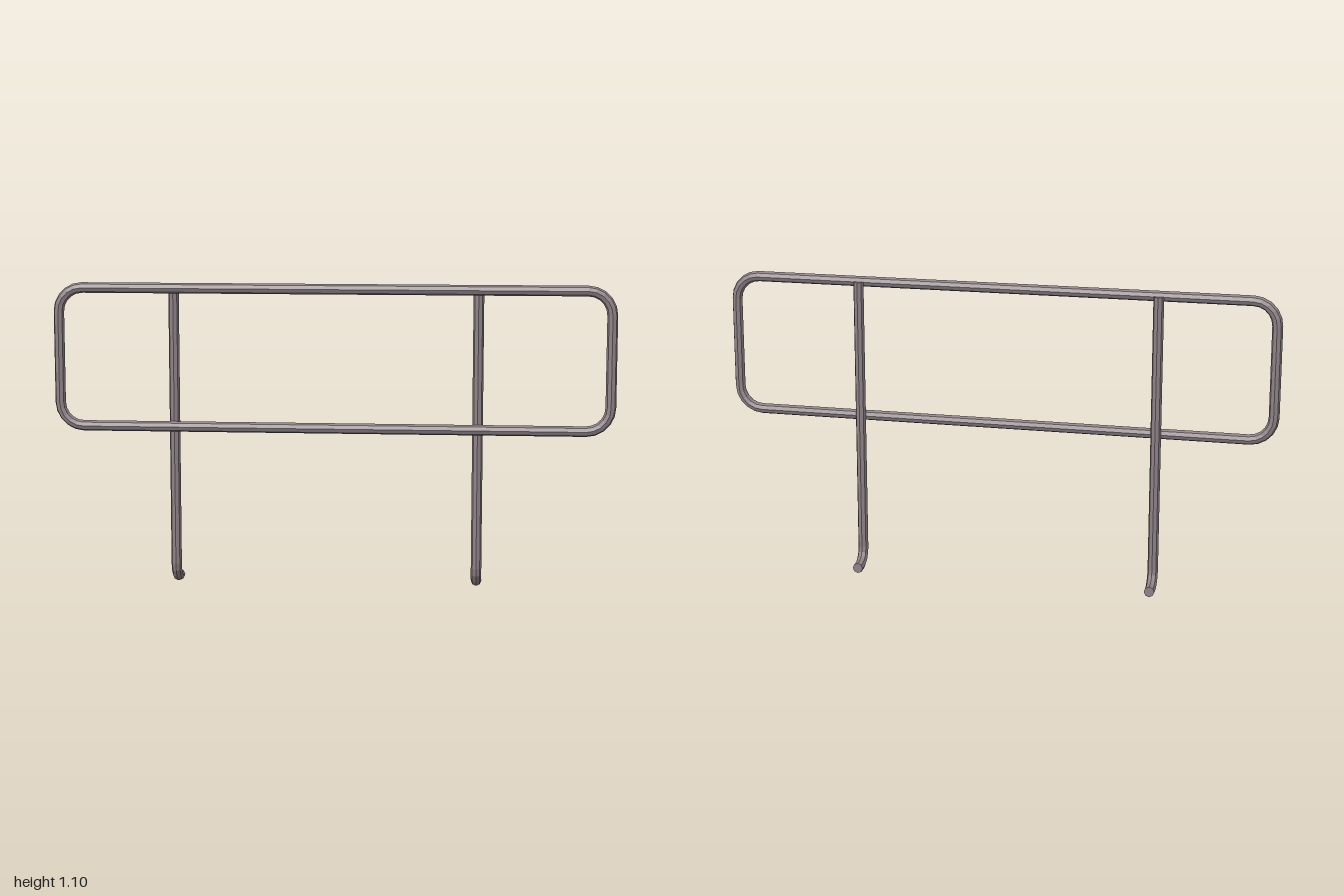
import * as THREE from 'three';

const R = 0.0188; // pipe radius
const SIDES = 8;

// Sweeps a round pipe along a planar path; `side` is the normal of that plane.
function pipe(name, path, side, closed, material) {
  const n = path.length, pos = [], idx = [];
  path.forEach((p, i) => {
    const prev = closed ? path[(i + n - 1) % n] : path[Math.max(i - 1, 0)];
    const next = closed ? path[(i + 1) % n] : path[Math.min(i + 1, n - 1)];
    const a = p.clone().sub(prev).normalize(), b = next.clone().sub(p).normalize();
    const tangent = a.add(b).normalize();
    const out = new THREE.Vector3().crossVectors(side, tangent);
    for (let k = 0; k < SIDES; k++) {
      const t = (k / SIDES) * Math.PI * 2;
      const v = p.clone().addScaledVector(out, R * Math.cos(t)).addScaledVector(side, -R * Math.sin(t));
      pos.push(v.x, v.y, v.z);
    }
  });
  for (let i = 0; i < (closed ? n : n - 1); i++) {
    for (let k = 0; k < SIDES; k++) {
      const k2 = (k + 1) % SIDES, j = (i + 1) % n;
      const a = i * SIDES + k, b = i * SIDES + k2, c = j * SIDES + k2, d = j * SIDES + k;
      idx.push(a, b, c, a, c, d);
    }
  }
  // flat ends
  if (!closed) {
    const e = (n - 1) * SIDES;
    for (let k = 1; k < SIDES - 1; k++) idx.push(0, k + 1, k, e, e + k, e + k + 1);
  }
  const geometry = new THREE.BufferGeometry();
  geometry.setAttribute('position', new THREE.Float32BufferAttribute(pos, 3));
  geometry.setIndex(idx);
  geometry.computeVertexNormals();
  const mesh = new THREE.Mesh(geometry, material);
  mesh.name = name;
  return mesh;
}

export function createModel() {
  const group = new THREE.Group();
  group.name = 'guardRail';
  const metal = new THREE.MeshStandardMaterial({ color: 0x8f8287, flatShading: true, side: THREE.DoubleSide });

  // rounded rectangular rail loop
  const halfW = 0.981, low = 0.583, high = 1.079, corner = 0.085, railZ = 0.038, steps = 5;
  const loop = [];
  [[1, 1], [-1, 1], [-1, -1], [1, -1]].forEach(([sx, sy], q) => {
    const cx = sx * (halfW - corner), cy = sy > 0 ? high - corner : low + corner;
    for (let i = 0; i <= steps; i++) {
      const t = (q + i / steps) * Math.PI / 2;
      loop.push(new THREE.Vector3(cx + corner * Math.cos(t), cy + corner * Math.sin(t), railZ));
    }
  });
  group.add(pipe('railLoop', loop, new THREE.Vector3(0, 0, 1), true, metal));

  // posts behind the rail, each with a foot bent backwards
  const postZ = 0.019, bend = 0.06, footY = 0.021;
  for (const [name, x] of [['rightPost', -0.57], ['leftPost', 0.514]]) {
    const path = [new THREE.Vector3(x, 1.08, postZ)];
    for (let i = 0; i <= 4; i++) {
      const t = (i / 4) * Math.PI / 2;
      path.push(new THREE.Vector3(x, footY + bend * (1 - Math.sin(t)), postZ - bend * (1 - Math.cos(t))));
    }
    path.push(new THREE.Vector3(x, footY, -0.057));
    group.add(pipe(name, path, new THREE.Vector3(1, 0, 0), false, metal));
  }
  return group;
}
